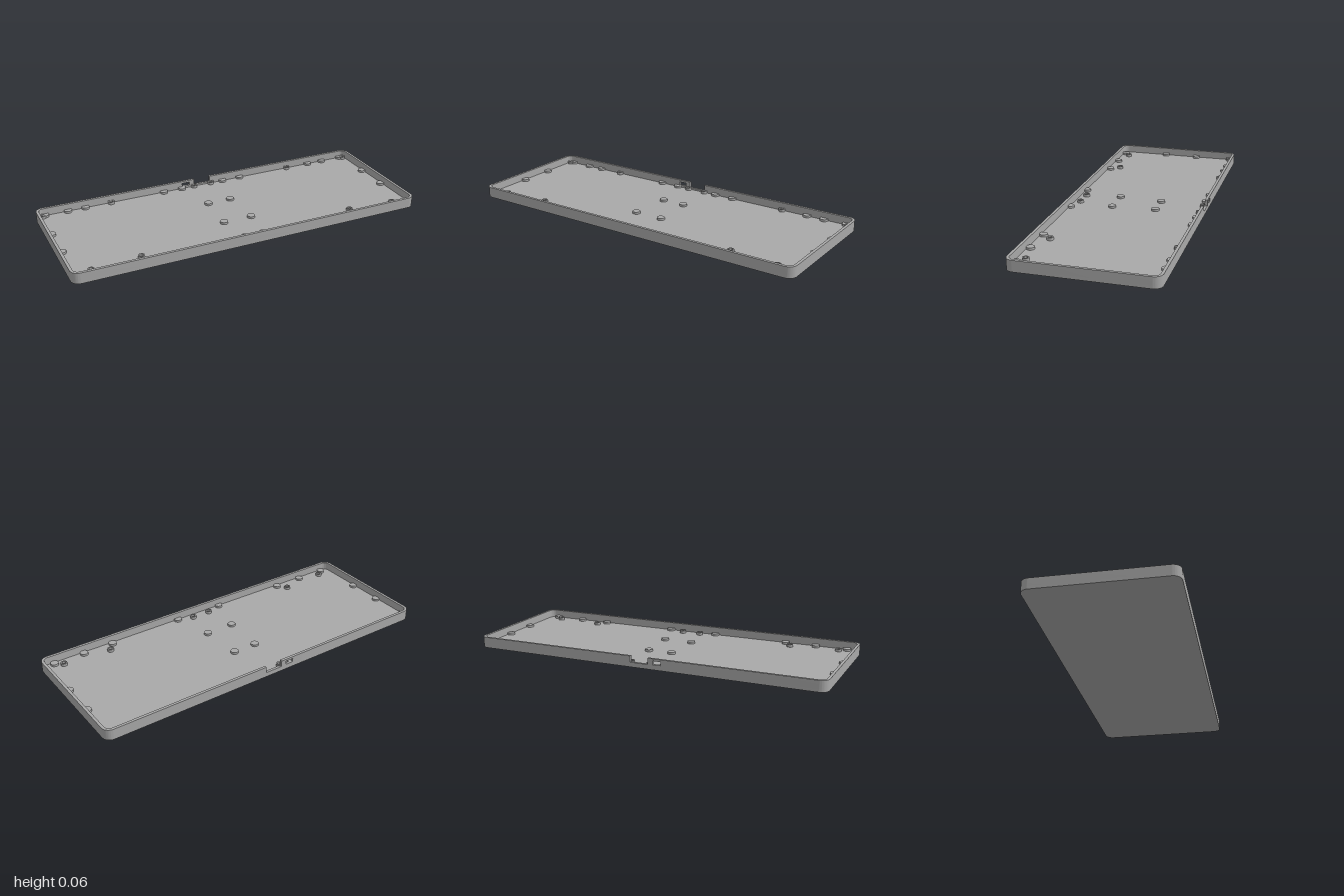
import * as THREE from 'three';
import { toCreasedNormals } from 'three/addons/utils/BufferGeometryUtils.js';

const W = 1, D = 0.38, H = 0.06, R = 0.045; // half width, half depth, height, corner radius
const WALL = 0.015, FLOOR = 0.016, GAP = 0.16;

// Rounded rectangle running from the back edge (x = g) round to (x = -g); shape y becomes -z
function outline(path, inset, g, reverse) {
  const w = W - inset, d = D - inset, r = R - inset, q = Math.PI / 2;
  const corners = [[w - r, d - r, 0], [w - r, r - d, 3], [r - w, r - d, 2], [r - w, d - r, 1]];
  if (reverse) corners.reverse();
  const s = reverse ? -1 : 1;
  path.lineTo(s * g, d);
  for (const [x, y, k] of corners) {
    const a = k * q;
    path.absarc(x, y, r, reverse ? a : a + q, reverse ? a + q : a, !reverse);
  }
  path.lineTo(-s * g, d);
}

function extrudeUp(shape, height) {
  const geo = new THREE.ExtrudeGeometry(shape, { depth: height, bevelEnabled: false, curveSegments: 12 });
  return toCreasedNormals(geo.rotateX(-Math.PI / 2), 0.6);
}

export function createModel() {
  const group = new THREE.Group();
  const grey = new THREE.MeshStandardMaterial({ color: 0xa8a8a8 });
  grey.name = 'grey';
  const add = (name, geo, x = 0, y = 0, z = 0) => {
    const mesh = new THREE.Mesh(geo, grey);
    mesh.name = name;
    mesh.position.set(x, y, z);
    group.add(mesh);
  };

  // Floor plate
  const floor = new THREE.Shape();
  floor.moveTo(0, D);
  outline(floor, 0, 0, false);
  add('floor', extrudeUp(floor, FLOOR));

  // Surrounding wall, open in the middle of the back
  const wall = new THREE.Shape();
  wall.moveTo(GAP, D);
  outline(wall, 0, GAP, false);
  outline(wall, WALL, GAP, true);
  wall.closePath();
  add('wall', extrudeUp(wall, H - FLOOR), 0, FLOOR, 0);

  // Back panel with the open notch and the small port window
  const panel = new THREE.Shape([
    [-GAP, FLOOR], [GAP, FLOOR], [GAP, H], [0.05, H], [0.05, 0.026],
    [-0.05, 0.026], [-0.05, H], [-GAP, H],
  ].map(([x, y]) => new THREE.Vector2(x, y)));
  panel.holes.push(new THREE.Path([
    [-0.125, 0.028], [-0.125, 0.048], [-0.08, 0.048], [-0.08, 0.028],
  ].map(([x, y]) => new THREE.Vector2(x, y))));
  add('backPanel', new THREE.ExtrudeGeometry(panel, { depth: WALL, bevelEnabled: false }), 0, 0, -D);

  // Solid support pads, mirrored left and right
  const pad = new THREE.CylinderGeometry(0.022, 0.022, 0.012, 32);
  const pads = [
    [0.948, -0.357], [0.819, -0.357], [0.718, -0.357], [0.245, -0.357], [0.131, -0.357],
    [0.97, -0.125], [0.97, 0.078], [0.068, -0.112], [0.082, 0.132],
    [0.928, 0.345], [0.752, 0.345], [0.577, 0.345], [0.143, 0.355],
  ];
  // Hollow screw posts, mirrored left and right
  const profile = [[0.018, 0], [0.018, 0.015], [0.011, 0.015], [0.011, 0.001], [0, 0.001]];
  const post = toCreasedNormals(
    new THREE.LatheGeometry(profile.map(([x, y]) => new THREE.Vector2(x, y)), 28), 0.6);
  const posts = [
    [0.965, -0.344], [0.567, -0.354], [0.054, -0.355],
    [0.887, 0.314], [0.617, 0.294], [0.054, 0.328],
  ];
  for (const side of [1, -1]) {
    for (const [x, z] of pads) add('supportPad', pad, side * x, FLOOR + 0.006, z);
    for (const [x, z] of posts) add('screwPost', post, side * x, FLOOR, z);
  }
  return group;
}
